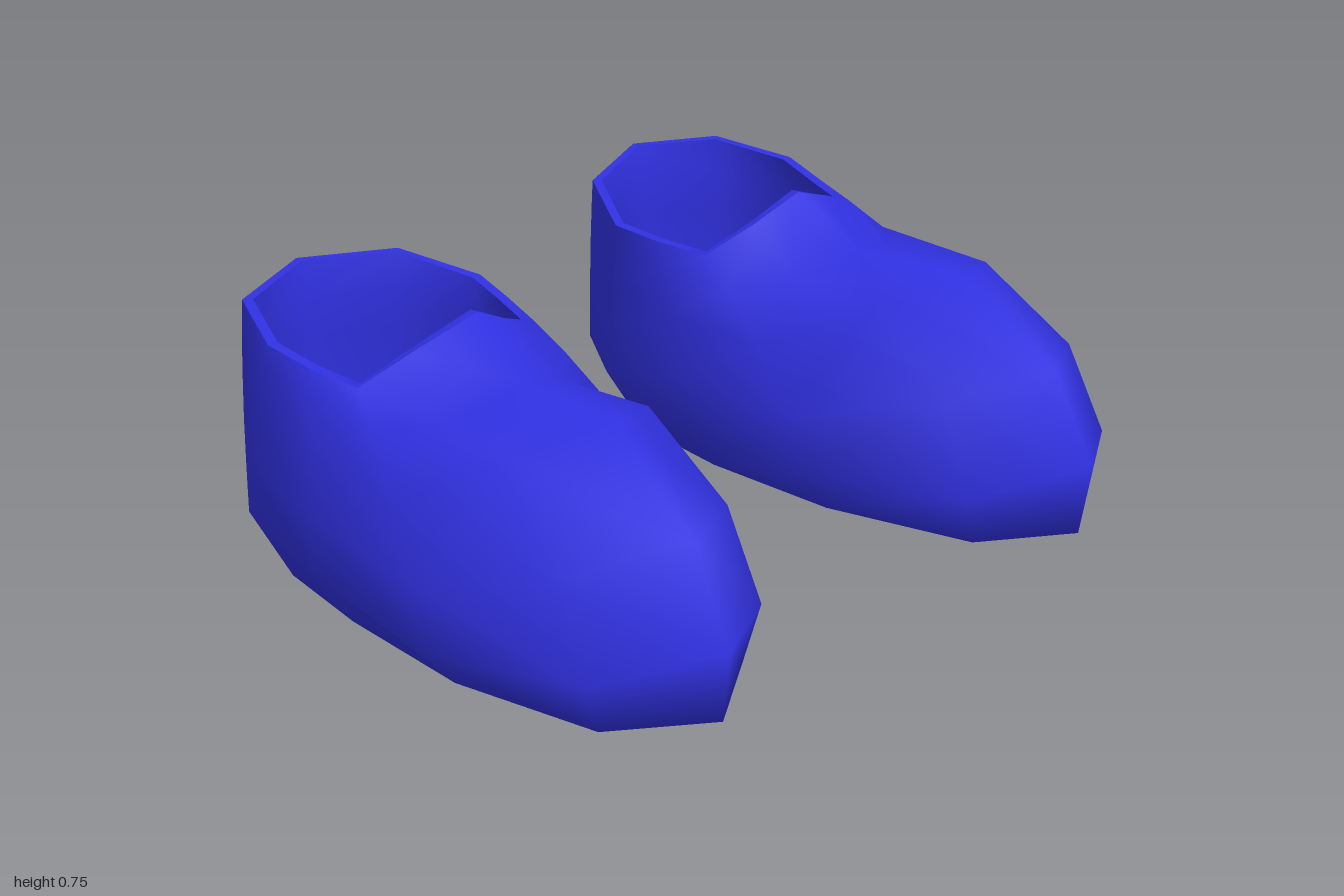
import * as THREE from 'three';

// Plan of the shoe at its widest, from the toe round the outer side: x, y, z
const OUTLINE = [
  [0.63, 0.25, 0.775], [0.90, 0.20, 0.60], [1.00, 0.155, 0.19], [0.98, 0.20, -0.22],
  [0.93, 0.23, -0.52], [0.80, 0.23, -0.70], [0.57, 0.23, -0.775], [0.35, 0.23, -0.70],
  [0.22, 0.23, -0.50], [0.19, 0.19, -0.20], [0.22, 0.18, 0.20], [0.36, 0.20, 0.61],
];
// Edge of the foot opening, in the same order, with a peak at the front
const RIM = [
  [0.54, 0.745, -0.125], [0.70, 0.68, -0.17], [0.83, 0.62, -0.21], [0.86, 0.635, -0.34],
  [0.88, 0.66, -0.47], [0.80, 0.69, -0.67], [0.57, 0.705, -0.755], [0.33, 0.69, -0.66],
  [0.23, 0.645, -0.47], [0.255, 0.63, -0.34], [0.29, 0.62, -0.21], [0.42, 0.68, -0.165],
];
const N = OUTLINE.length;
const STEPS = [0.13, 0.43, 0.78];       // plan steps from outline to rim
const FRONT_RISE = [0.45, 0.81, 0.78];  // the toe rises early
const SIDE_RISE = [0.30, 0.62, 0.87];

const mix = THREE.MathUtils.lerp;
const shrink = (ring, c, sx, sy, sz) => ring.map(([x, y, z]) =>
  [c[0] + (x - c[0]) * sx, c[1] + (y - c[1]) * sy, c[2] + (z - c[2]) * sz]);

// Rings from the bottom of the sole up to the opening
function outerRings() {
  const sole = (s, dz, sz, y) => OUTLINE.map(([x, , z]) => [0.6 + (x - 0.6) * s, y, z * sz + dz]);
  const upper = STEPS.map((t, k) => OUTLINE.map((o, j) => {
    const r = RIM[j];
    const rise = (j <= 1 || j === N - 1 ? FRONT_RISE : SIDE_RISE)[k];
    return [mix(o[0], r[0], t), mix(o[1], r[1], rise), mix(o[2], r[2], t)];
  }));
  return [sole(0.6, 0.005, 0.64, 0.012), sole(0.82, 0.035, 0.92, 0.065), OUTLINE, ...upper, RIM];
}

// Skin over a stack of rings; base closes the first ring, flip turns the faces round
function loft(rings, base, flip, side) {
  const pos = [], index = [];
  rings.forEach(ring => ring.forEach(([x, y, z]) => pos.push(x * side, y, z)));
  const tri = (a, b, c) => (flip !== (side < 0) ? index.push(a, c, b) : index.push(a, b, c));
  for (let k = 0; k < rings.length - 1; k++) {
    for (let j = 0; j < N; j++) {
      const a = k * N + j, b = k * N + (j + 1) % N;
      tri(a, b, b + N);
      tri(a, b + N, a + N);
    }
  }
  if (base) {
    const centre = rings.length * N;
    pos.push(base[0] * side, base[1], base[2]);
    for (let j = 0; j < N; j++) tri(centre, (j + 1) % N, j);
  }
  const geo = new THREE.BufferGeometry();
  geo.setAttribute('position', new THREE.Float32BufferAttribute(pos, 3));
  geo.setIndex(index);
  geo.computeVertexNormals();
  return geo;
}

function makeShoe(side, material) {
  const shoe = new THREE.Group();
  const add = (name, geo) => {
    const mesh = new THREE.Mesh(geo, material);
    mesh.name = name;
    shoe.add(mesh);
  };
  const outer = outerRings();
  const innerRim = shrink(RIM, [0.55, 0, -0.44], 0.92, 1, 0.93);
  const inner = shrink(outer.slice(0, -1).flat(), [0.59, 0.32, -0.05], 0.92, 0.9, 0.94);
  const lining = [];
  for (let k = 0; k < outer.length - 1; k++) lining.push(inner.slice(k * N, (k + 1) * N));
  lining.push(innerRim);

  add('shoeUpperAndSole', loft(outer, [0.6, 0, 0], false, side));
  add('openingRim', loft([RIM, innerRim], null, false, side));
  add('lining', loft(lining, [0.59, 0.032, -0.05], true, side));
  return shoe;
}

export function createModel() {
  const blue = new THREE.MeshStandardMaterial({ color: 0x3030e0 });
  blue.name = 'royal blue';
  const model = new THREE.Group();
  model.name = 'pairOfSlippers';
  for (const side of [1, -1]) {
    const shoe = makeShoe(side, blue);
    shoe.name = side > 0 ? 'leftShoe' : 'rightShoe';
    model.add(shoe);
  }
  return model;
}
